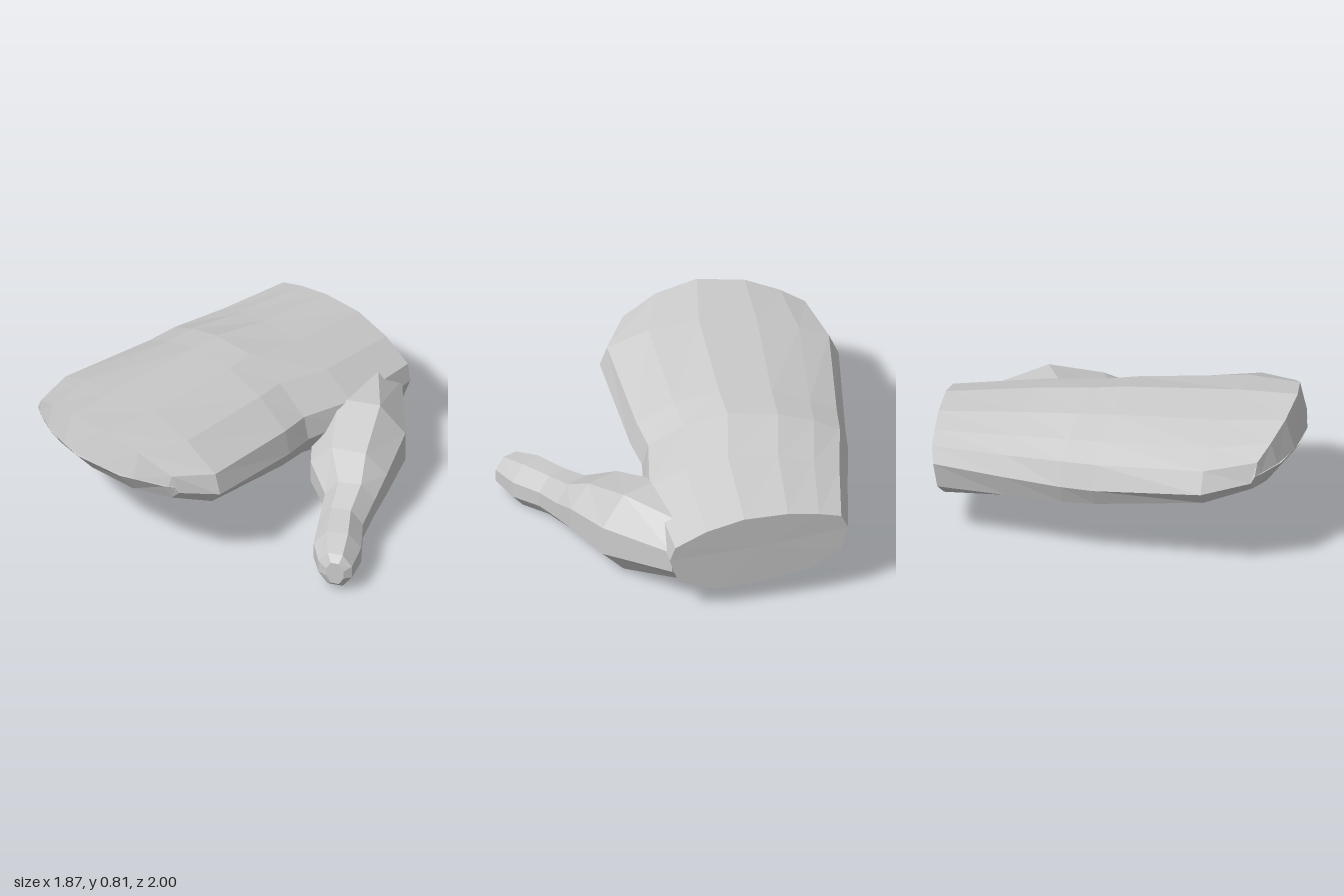
import * as THREE from 'three';

// Outlines of a cross-section: u runs across, v up; ordered side, top, side, bottom
const HAND = [[-1, 0], [-0.92, 0.45], [-0.67, 0.68], [-0.32, 0.9], [0.17, 1], [0.59, 0.81], [0.94, 0.43],
  [1, 0], [0.9, -0.6], [0.45, -1], [-0.1, -1], [-0.6, -0.9], [-0.92, -0.55]];
const THUMB = [[-1, -0.35], [-1, 0.35], [-0.45, 1], [0.45, 1], [1, 0.35], [1, -0.35], [0.45, -1], [-0.45, -1]];

// Skin a row of closed rings and close both ends with a fan
function loft(rings, name) {
  const n = rings[0].length, pos = [];
  const tri = (a, b, c) => pos.push(...a, ...b, ...c);
  const centre = r => [0, 1, 2].map(k => r.reduce((s, p) => s + p[k], 0) / n);
  const first = rings[0], last = rings[rings.length - 1];
  for (let j = 0; j < n; j++) {
    const k = (j + 1) % n;
    for (let i = 0; i < rings.length - 1; i++) {
      const a = rings[i], b = rings[i + 1];
      tri(a[j], b[j], a[k]);
      tri(b[j], b[k], a[k]);
    }
    tri(centre(first), first[j], first[k]);
    tri(centre(last), last[k], last[j]);
  }
  const geo = new THREE.BufferGeometry();
  geo.setAttribute('position', new THREE.Float32BufferAttribute(pos, 3));
  geo.computeVertexNormals();
  const mesh = new THREE.Mesh(geo, new THREE.MeshStandardMaterial({ color: 0xcccccc, flatShading: true }));
  mesh.name = name;
  return mesh;
}

// Section across the hand: roll tilts it sideways, bulge rounds it forward, skew and lean slant it
function handRing({ z, x, mid, up, down, roll = 0, bulge = 0, skew = 0, lean = 0 }) {
  const cx = (x[0] + x[1]) / 2, half = (x[1] - x[0]) / 2;
  return HAND.map(([u, v]) => [
    cx + half * u,
    mid + v * (v > 0 ? up : down) + roll * u,
    z + bulge * (1 - u * u) + skew * u + lean * v,
  ]);
}

// Section across the thumb, from its inner edge to its outer edge
function thumbRing([inX, inZ, outX, outZ, top, bottom]) {
  return THUMB.map(([u, v]) => {
    const t = (u + 1) / 2;
    return [inX + (outX - inX) * t, (top + bottom) / 2 + v * (top - bottom) / 2, inZ + (outZ - inZ) * t];
  });
}

export function createModel() {
  const model = new THREE.Group();
  model.name = 'mitten';

  // Cuff, palm and fingers, ending in a blunt rounded edge
  const hand = [
    { z: -0.94, x: [-0.86, 0.1], mid: 0.42, up: 0.2, down: 0.27, roll: -0.05, skew: -0.045, lean: -0.03 },
    { z: -0.5, x: [-0.89, 0.2], mid: 0.43, up: 0.25, down: 0.23, roll: -0.03 },
    { z: -0.18, x: [-0.92, 0.18], mid: 0.44, up: 0.295, down: 0.2, roll: -0.02 },
    { z: 0, x: [-0.92, 0.23], mid: 0.45, up: 0.3, down: 0.18, roll: -0.01 },
    { z: 0.6, x: [-0.935, 0.34], mid: 0.525, up: 0.26, down: 0.13 },
    { z: 0.82, x: [-0.82, 0.23], mid: 0.57, up: 0.24, down: 0.09, bulge: 0.1, skew: -0.025, lean: 0.025 },
    { z: 0.84, x: [-0.81, 0.22], mid: 0.61, up: 0.005, down: 0.005, bulge: 0.16, skew: -0.025 },
  ];
  model.add(loft(hand.map(handRing), 'hand'));

  // Thumb, growing out of the side of the palm
  const thumb = [
    [-0.35, -0.7, 0.085, -0.94, 0.5, 0.15],
    [0.0, -0.38, 0.43, -0.65, 0.52, 0.035],
    [0.22, -0.16, 0.58, -0.38, 0.42, 0.06],
    [0.42, -0.08, 0.64, -0.24, 0.33, 0.055],
    [0.52, 0.05, 0.72, -0.08, 0.28, 0.03],
    [0.65, 0.21, 0.85, 0.05, 0.265, 0],
    [0.77, 0.285, 0.93, 0.19, 0.23, 0.03],
    [0.83, 0.285, 0.915, 0.235, 0.19, 0.06],
  ];
  model.add(loft(thumb.map(thumbRing), 'thumb'));
  return model;
}
